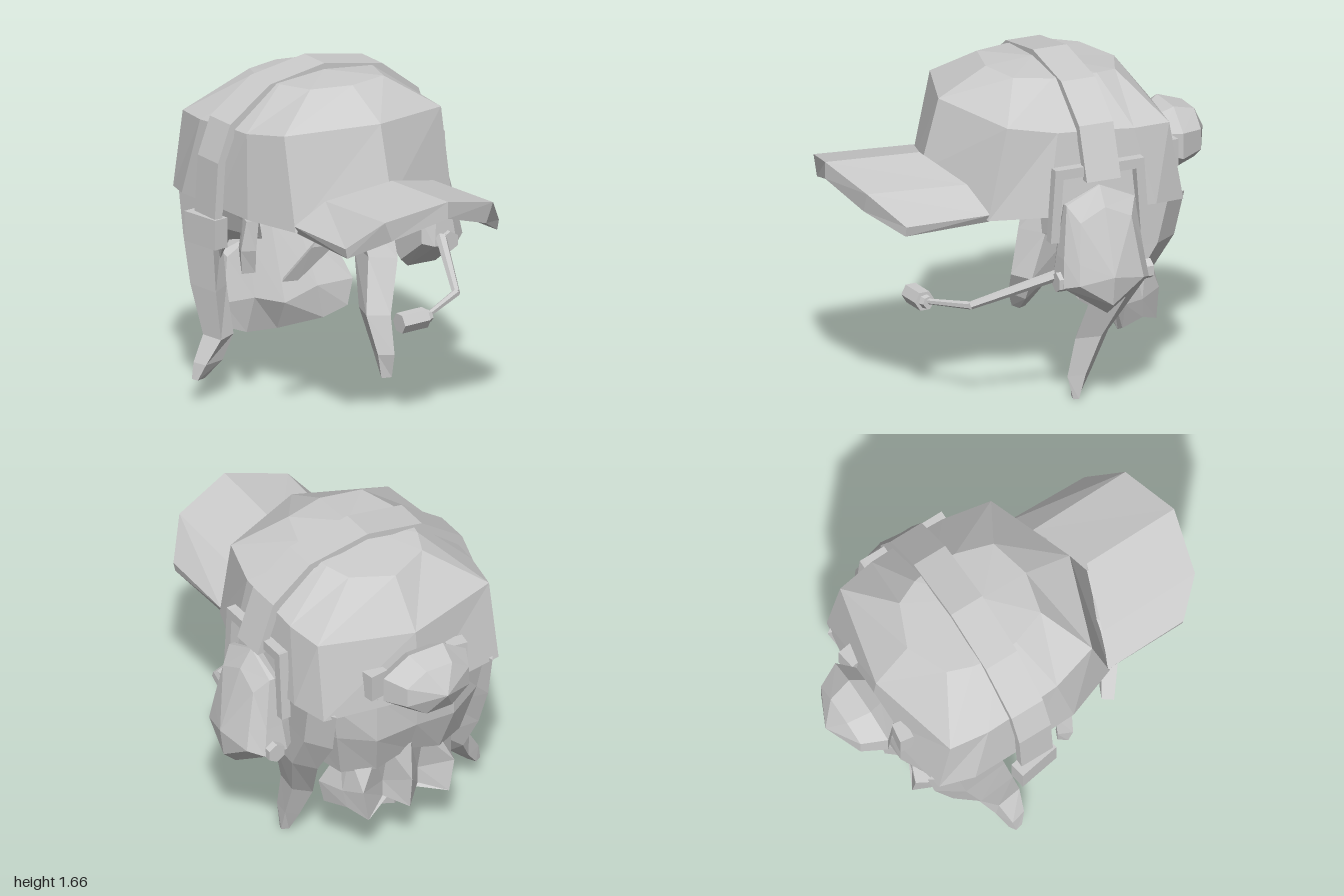
import * as THREE from 'three';

const CX = -0.06; // centre line of the head
const material = new THREE.MeshStandardMaterial({ color: 0xcccccc, flatShading: true, side: THREE.DoubleSide });

// Faceted skin over rings of [x, y, z] points; a cap may be given its own tip point
function loft(rings, { closed = true, capStart = false, capEnd = false } = {}) {
  const pos = [];
  const n = rings[0].length;
  const tri = (a, b, c) => pos.push(...a, ...b, ...c);
  for (let i = 0; i < rings.length - 1; i++) {
    for (let j = 0; j < (closed ? n : n - 1); j++) {
      const k = (j + 1) % n, p = rings[i], q = rings[i + 1];
      tri(p[j], p[k], q[k]);
      tri(p[j], q[k], q[j]);
    }
  }
  const cap = (ring, flip, tip) => {
    const mid = Array.isArray(tip) ? tip : [0, 1, 2].map(a => ring.reduce((s, p) => s + p[a], 0) / n);
    ring.forEach((p, j) => {
      const r = ring[(j + 1) % n];
      flip ? tri(mid, r, p) : tri(mid, p, r);
    });
  };
  if (capStart) cap(rings[0], true, capStart);
  if (capEnd) cap(rings[rings.length - 1], false, capEnd);
  const g = new THREE.BufferGeometry();
  g.setAttribute('position', new THREE.Float32BufferAttribute(pos, 3));
  g.computeVertexNormals();
  return g;
}

// Mirror half a ring about the head's centre line
const side = (half, s) => half.map(([x, y, z]) => [CX + s * x, y, z]);
const fullRing = half => [...side(half, 1), ...side(half.slice(1, -1), -1).reverse()];
const arc = half => [...side(half, 1), ...side(half.slice(0, -1), -1).reverse()];

// Tapering lock of hair; nodes are [x, y, z, half width, half depth], a negative width mirrors it
const lock = nodes => loft(nodes.map(([x, y, z, w, d]) => [
  [x + w * 0.7, y, z + d], [x + w, y, z - d * 0.3], [x - w * 0.2, y, z - d], [x - w, y, z + d * 0.4],
]), { capStart: true, capEnd: true });

function rod(a, b, r0, r1, sides = 6) {
  const p = new THREE.Vector3(...a), q = new THREE.Vector3(...b), d = q.clone().sub(p);
  const g = new THREE.CylinderGeometry(r1, r0, d.length(), sides);
  g.applyQuaternion(new THREE.Quaternion().setFromUnitVectors(new THREE.Vector3(0, 1, 0), d.normalize()));
  return g.translate((a[0] + b[0]) / 2, (a[1] + b[1]) / 2, (a[2] + b[2]) / 2);
}

function box(w, h, d, x, y, z, rx = 0, ry = 0) {
  return new THREE.BoxGeometry(w, h, d).rotateX(rx).rotateY(ry).translate(x, y, z);
}

export function createModel() {
  const model = new THREE.Group();
  const add = (name, geometry) => {
    const mesh = new THREE.Mesh(geometry, material);
    mesh.name = name;
    model.add(mesh);
  };

  // Cap: open at the bottom, peaked front panel
  add('capCrown', loft([
    [[0, 1.13, .5], [.45, 1, .34], [.55, 1.01, .07], [.56, 1.01, -.2], [.56, 1, -.5], [.5, .98, -.67], [0, .98, -.75]],
    [[0, 1.49, .4], [.45, 1.46, .24], [.51, 1.42, 0], [.52, 1.41, -.2], [.52, 1.39, -.4], [.49, 1.38, -.6], [0, 1.34, -.71]],
    [[0, 1.62, .15], [.21, 1.62, .1], [.27, 1.61, -.08], [.28, 1.605, -.2], [.26, 1.6, -.32], [.21, 1.585, -.44], [0, 1.57, -.53]],
  ].map(fullRing), { capEnd: [CX, 1.635, -.1] }));

  // Strap tabs either side of the bun
  for (const s of [-1, 1]) add('strapTab', box(.1, .14, .07, CX + s * .23, 1.13, -.705, 0, s * .15));

  // Bill: arched slab made of a top, a front edge and an underside
  const billTop = [[[.45, 1.03, .33], [.31, 1.15, .39], [0, 1.23, .5]], [[.44, 1.03, .77], [.31, 1.18, .92], [0, 1.255, 1]]];
  const billUnder = [[[.43, .99, .33], [.26, 1.05, .38], [0, 1.12, .48]], [[.43, .98, .77], [.27, 1.08, .92], [0, 1.17, 1]]];
  const [topBack, topFront, underBack, underFront] = [...billTop, ...billUnder].map(arc);
  add('capBill', loft([topBack, topFront, underFront, underBack], { closed: false }));
  for (const i of [0, 4]) {
    add('billSide', loft([[topBack[i], topFront[i]], [underBack[i], underFront[i]]], { closed: false }));
  }

  // Hair under the cap, drawn in towards the nape
  add('backHair', loft([
    [[.5, 1.03, .09], [.53, 1.03, -.2], [.51, 1.03, -.45], [.44, 1.03, -.65], [.22, 1.03, -.71], [0, 1.03, -.73]],
    [[.46, .9, .06], [.49, .88, -.22], [.47, .82, -.46], [.4, .82, -.63], [.22, .78, -.71], [0, .8, -.72]],
    [[.43, .8, -.28], [.43, .68, -.36], [.4, .6, -.46], [.34, .56, -.57], [.18, .56, -.64], [0, .62, -.65]],
  ].map(arc), { closed: false }));

  // Gathered ends below the nape, folded in and out
  add('napeHair', loft([
    [[0, .75, -.58], [.15, .68, -.55], [.3, .63, -.5], [.29, .64, -.57], [.18, .62, -.63], [.1, .64, -.62], [0, .66, -.67]],
    [[0, .36, -.45], [.18, .42, -.44], [.37, .43, -.42], [.31, .42, -.54], [.26, .45, -.65], [.1, .42, -.57], [0, .45, -.68]],
    [[0, .215, -.52], [.22, .25, -.45], [.34, .3, -.42], [.29, .32, -.55], [.23, .28, -.65], [.1, .33, -.57], [0, .28, -.66]],
  ].map(fullRing), { capStart: [CX, .7, -.62], capEnd: [CX, .34, -.54] }));

  // Bun through the back of the cap
  add('hairBun', loft([
    [.17, .12, -.735], [.24, .16, -.81], [.18, .125, -.93],
  ].map(([rx, ry, z]) => Array.from({ length: 8 }, (_, i) => {
    const a = (i + .5) * Math.PI / 4;
    return [CX + rx * 1.06 * Math.cos(a), 1.14 + ry * 1.07 * Math.sin(a), z + .02 * Math.abs(Math.cos(a))];
  })), { capEnd: [CX, 1.14, -1] }));

  // Loose locks, broad under the cap rim and kinked at the ends
  add('leftLock', lock([
    [.4, 1, -.52, .07, .18], [.39, .78, -.47, .07, .18], [.38, .57, -.35, .065, .15],
    [.305, .31, -.24, .06, .1], [.315, .12, -.17, .04, .07], [.325, 0, -.15, .03, .02],
  ]));
  add('rightLock', lock([
    [-.52, 1, -.52, -.07, .18], [-.52, .78, -.48, -.07, .18], [-.53, .55, -.41, -.07, .15],
    [-.53, .32, -.32, -.065, .1], [-.6, .2, -.3, -.07, .06], [-.655, .12, -.3, -.03, .03],
  ]));
  add('fringeLock', lock([
    [-.25, 1.1, .43, .07, .05], [-.4, .94, .4, .065, .045], [-.53, .76, .31, .045, .035],
  ]));
  add('templeLock', lock([
    [-.58, 1, .04, .03, .05], [-.595, .85, .03, .04, .05], [-.58, .73, .02, .04, .03],
  ]));

  // Headset band over the cap
  const bandPath = [[-.69, .96], [-.67, 1.26], [-.6, 1.445], [-.37, 1.61], [CX, 1.665], [.27, 1.61], [.48, 1.45], [.57, 1.19]];
  add('headband', loft(bandPath.map(([x, y]) => {
    const ix = CX + (x - CX) * .93, iy = y > 1.3 ? y - .03 : y;
    return [[x, y, -.1], [x, y, -.28], [ix, iy, -.28], [ix, iy, -.1]];
  }), { capStart: true, capEnd: true }));
  add('templePad', box(.08, .15, .22, -.675, .905, -.2, 0, .17));

  // Ear cup: elongated octagon swelling outwards low down
  const cupOutline = [[-.18, 1.16], [0, 1.08], [.03, .82], [.04, .68], [-.18, .53], [-.41, .68], [-.39, .82], [-.36, 1.08]];
  const cupRing = (x, s, lean) => cupOutline.map(([z, y]) => {
    const yy = .78 + (y - .78) * s;
    return [x - (yy - .74) * lean, yy, -.18 + (z + .18) * s];
  });
  add('earCup', loft([cupRing(.43, .85, 0), cupRing(.49, 1, -.1), cupRing(.6, 1, .14), cupRing(.67, .75, .2)],
    { capStart: true, capEnd: [.72, .74, -.18] }));

  // Bracket hanging the cup from the band
  add('cupBracketTop', box(.05, .05, .44, .51, 1.235, -.19));
  for (const s of [-1, 1]) {
    add('cupBracketArm', box(.05, .37, .045, .51, 1.075, -.185 + s * .225, -s * .07));
    add('cupPivot', rod([.56, .7, -.19 + s * .2], [.56, .7, -.19 + s * .25], .05, .05));
  }

  // Microphone boom and capsule
  const boom = [[.52, .72, .04], [.36, .57, .42], [.12, .53, .54]];
  add('micBoomUpper', rod(boom[0], boom[1], .028, .02));
  add('micBoomLower', rod(boom[1], boom[2], .02, .014));
  add('microphone', rod([.1, .525, .545], [-.05, .52, .55], .052, .052));
  add('micCollar', rod([.13, .527, .54], [.1, .525, .545], .03, .035));

  return model;
}
